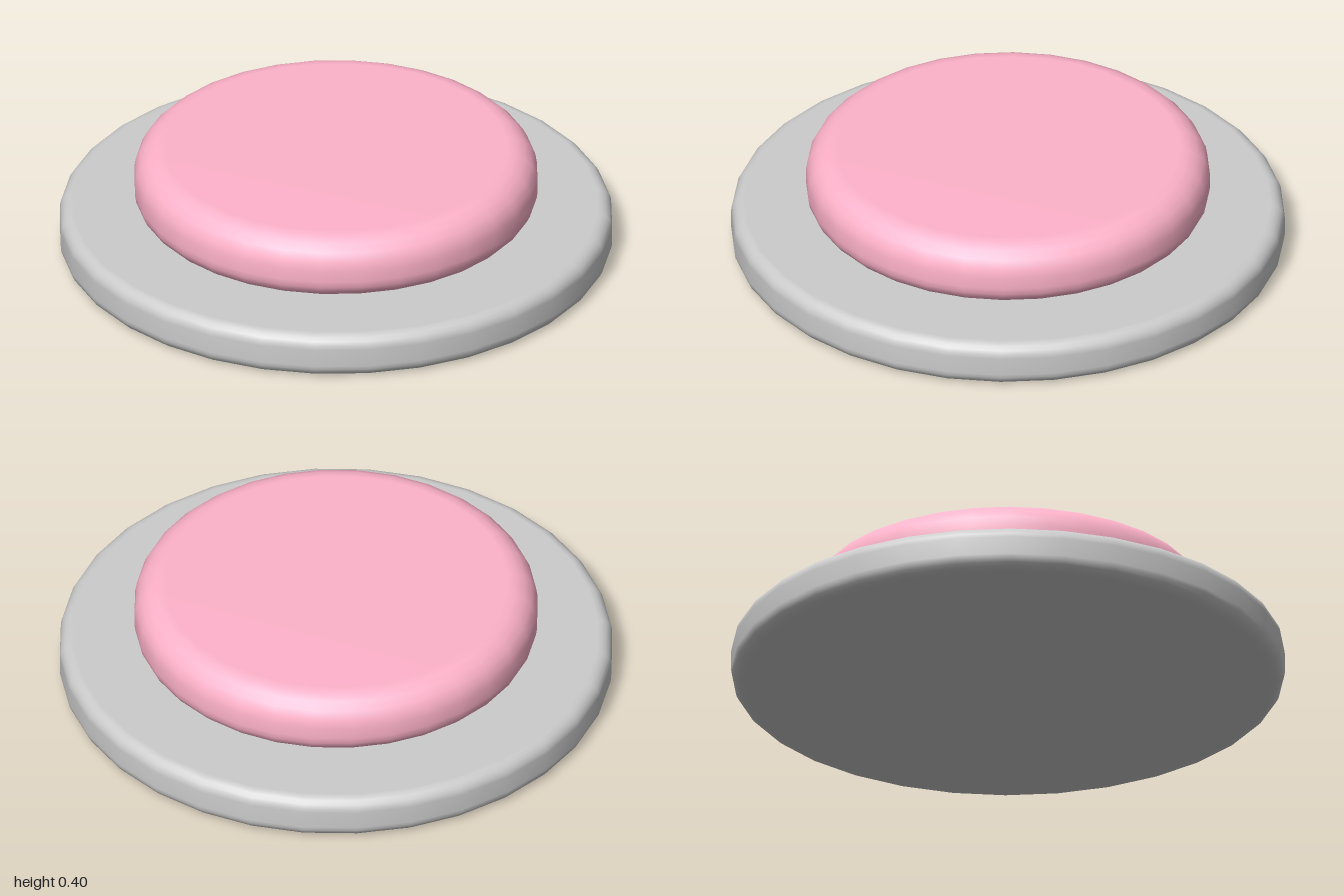
import * as THREE from 'three';

const SIDES = 32;

// Disc with rounded rims: a lathe around y, from the bottom centre to the top centre
function roundedDisc(name, radius, y0, y1, bottomRound, topRound, color) {
  const points = [new THREE.Vector2(0, y0)];
  const arc = (r, cy, from) => {
    for (let i = 0; i <= 5; i++) {
      const a = from + (i / 5) * Math.PI / 2;
      points.push(new THREE.Vector2(radius - r + r * Math.cos(a), cy + r * Math.sin(a)));
    }
  };
  arc(bottomRound, y0 + bottomRound, -Math.PI / 2);
  arc(topRound, y1 - topRound, 0);
  points.push(new THREE.Vector2(0, y1));
  const mesh = new THREE.Mesh(
    new THREE.LatheGeometry(points, SIDES),
    new THREE.MeshStandardMaterial({ color })
  );
  mesh.name = name;
  return mesh;
}

export function createModel() {
  const group = new THREE.Group();
  group.name = 'pushButton';
  // Wide grey base plate
  group.add(roundedDisc('base', 1, 0, 0.167, 0.05, 0.05, 0xcccccc));
  // Pink button cap resting on the base
  group.add(roundedDisc('buttonCap', 0.73, 0.167, 0.402, 0.08, 0.11, 0xffb3cb));
  return group;
}
